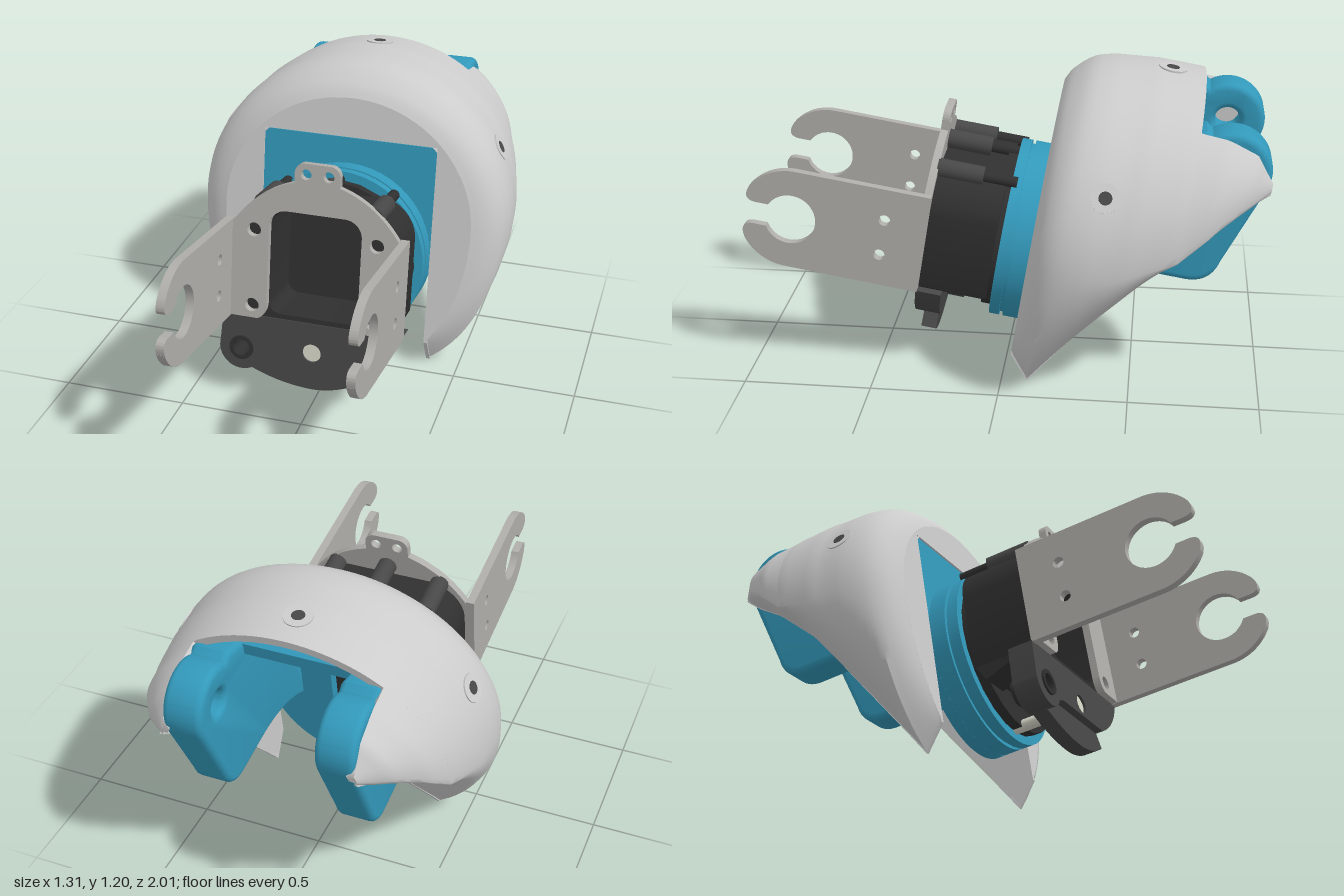
import * as THREE from 'three';
import { toCreasedNormals } from 'three/addons/utils/BufferGeometryUtils.js';

const mat = (color) => new THREE.MeshStandardMaterial({ color, side: THREE.DoubleSide });
const GREY = mat(0xcccccc), STEEL = mat(0xb0aeaa), BLUE = mat(0x3399bb);
const BLACK = mat(0x303030), DARK = mat(0x474747), BOLT = mat(0xd6d6c8);

const poly = (pts) => new THREE.Shape(pts.map(([x, y]) => new THREE.Vector2(x, y)));
const hole = (x, y, r) => new THREE.Path().absarc(x, y, r, 0, Math.PI * 2, true);

function roundRect(x0, y0, x1, y1, top, bottom = top, P = THREE.Shape) {
  const p = new P();
  p.moveTo(x0 + bottom, y0);
  p.lineTo(x1 - bottom, y0);
  p.absarc(x1 - bottom, y0 + bottom, bottom, -Math.PI / 2, 0);
  p.absarc(x1 - top, y1 - top, top, 0, Math.PI / 2);
  p.absarc(x0 + top, y1 - top, top, Math.PI / 2, Math.PI);
  p.absarc(x0 + bottom, y0 + bottom, bottom, Math.PI, Math.PI * 1.5);
  return p;
}

// Linear lookup in [key, value] rows with falling keys
function lookup(rows, k) {
  for (let i = 1; i < rows.length; i++) {
    const [a, b] = [rows[i - 1], rows[i]];
    if (k >= b[0]) return a[1] + (b[1] - a[1]) * Math.min(1, Math.max(0, (k - a[0]) / (b[0] - a[0])));
  }
  return rows[rows.length - 1][1];
}

// Shell profile along the joint axis: half width, top, middle and lower edge
const WIDTH = [[-0.1, 0.52], [-0.115, 0.565], [-0.14, 0.605], [-0.18, 0.635], [-0.23, 0.65], [-0.3, 0.655], [-0.45, 0.64], [-0.6, 0.605], [-0.72, 0.555], [-0.85, 0.46], [-0.926, 0.37]];
const TOP = [[-0.1, 0.63], [-0.12, 0.67], [-0.17, 0.72], [-0.21, 0.747], [-0.28, 0.766], [-0.45, 0.785], [-0.63, 0.784], [-0.75, 0.765], [-0.85, 0.73], [-0.926, 0.62]];
const MID = [[-0.1, 0.13], [-0.4, 0.15], [-0.63, 0.25], [-0.75, 0.38], [-0.85, 0.47], [-0.926, 0.51]];
const LOW = [[-0.1, -0.37], [-0.18, -0.472], [-0.25, -0.36], [-0.46, -0.035], [-0.59, 0.174], [-0.77, 0.366], [-0.87, 0.44], [-0.926, 0.495]];
const GAP = 0.36, ROUND = 0.75;

const topAngle = (w) => Math.asin(Math.min(1, GAP / lookup(WIDTH, w)));
const lowAngle = (w) => Math.PI - Math.asin(Math.min(1, (GAP / lookup(WIDTH, w)) ** (1 / ROUND)));

// Section point: elliptic above the middle, fuller below, ending on the gap
function shellPoint(w, a, inset = 0) {
  const m = lookup(MID, w), c = Math.cos(a), s = Math.sin(a), X = lookup(WIDTH, w) - inset;
  if (c >= 0) return [X * s, m + (lookup(TOP, w) - m - inset) * c, w];
  const drop = (m - lookup(LOW, w)) / -Math.cos(lowAngle(w));
  const x = Math.max(GAP, X * Math.abs(s) ** ROUND);
  return [Math.sign(s) * x, m + Math.max(0, drop - inset) * c, w];
}
// Walled loft of shell sections from start(w) to end(w)
function shellLoft(ws, start, end, n) {
  const pos = [], idx = [], m = 2 * (n + 1);
  ws.forEach((w, k) => {
    const a0 = start(w), a1 = end(w);
    for (let i = 0; i <= n; i++) pos.push(...shellPoint(w, a0 + (a1 - a0) * i / n));
    for (let i = n; i >= 0; i--) pos.push(...shellPoint(w, a0 + (a1 - a0) * i / n, 0.03));
    if (!k) return;
    for (let i = 0; i < m; i++) {
      const j = (i + 1) % m, p = (k - 1) * m, q = k * m;
      idx.push(p + i, p + j, q + i, p + j, q + j, q + i);
    }
  });
  const last = (ws.length - 1) * m;
  for (let i = 0; i < n; i++) {
    const a = last + i, d = last + m - 1 - i;
    idx.push(a, a + 1, d, a + 1, d - 1, d);
  }
  const g = new THREE.BufferGeometry();
  g.setAttribute('position', new THREE.Float32BufferAttribute(pos, 3));
  g.setIndex(idx);
  return toCreasedNormals(g, 0.7);
}
const steps = (a, b, n) => Array.from({ length: n + 1 }, (_, i) => a + (b - a) * i / n);

export function createModel() {
  const model = new THREE.Group();
  const joint = new THREE.Group();
  joint.name = 'tiltedJoint';
  joint.position.y = 0.5;
  joint.rotation.x = -0.165;
  model.add(joint);

  const add = (name, geo, m) => {
    const mesh = new THREE.Mesh(geo, m);
    mesh.name = name;
    joint.add(mesh);
    return mesh;
  };
  // Plate facing along the joint axis
  const plate = (name, shape, w0, w1, m) => add(name, toCreasedNormals(new THREE.ExtrudeGeometry(shape,
    { depth: w1 - w0, bevelEnabled: false, curveSegments: 24 }).translate(0, 0, w0), 0.6), m);
  // Plate facing sideways, drawn in (axis, up) coordinates
  const sidePlate = (name, shape, x0, x1, m, bevel = 0) => add(name, toCreasedNormals(new THREE.ExtrudeGeometry(shape, {
    depth: x1 - x0 - 2 * bevel, bevelEnabled: bevel > 0, bevelSize: bevel, bevelOffset: -bevel,
    bevelThickness: bevel, bevelSegments: 4, curveSegments: 20,
  }).rotateY(-Math.PI / 2).translate(x1 - bevel, 0, 0), 0.6), m);
  const rod = (name, x, v, r, w0, w1, m) => add(name,
    new THREE.CylinderGeometry(r, r, w1 - w0, 24).rotateX(Math.PI / 2).translate(x, v, (w0 + w1) / 2), m);

  // Domed shell with two rear lobes
  const front = [-0.1, -0.107, -0.115, -0.127, -0.14, -0.16, -0.18, -0.205, -0.23, ...steps(-0.265, -0.63, 14)];
  add('shell', shellLoft(front, (w) => -lowAngle(w), lowAngle, 110), GREY);
  const lobe = shellLoft(steps(-0.63, -0.926, 16), topAngle, lowAngle, 36);
  add('shellLobeLeft', lobe, GREY);
  add('shellLobeRight', lobe, GREY).scale.x = -1;

  // Flat front wall of the shell with its notch, and the flat inner side walls
  const end = lowAngle(-0.1);
  const rim = steps(-end, end, 64).map((a) => shellPoint(-0.1, a));
  plate('shellFrontWall', poly([...rim, [GAP, 0.468], [-GAP, 0.468]]), -0.125, -0.1, GREY);
  const inner = poly([...LOW, [-0.85, 0.55], [-0.63, 0.62], [-0.3, 0.5], [-0.1, 0.4]]);
  for (const x of [-GAP - 0.015, GAP]) sidePlate('shellInnerWall', inner, x, x + 0.015, GREY);

  // Flush screw seats on the shell
  for (const [x, v, w, nx, ny] of [[0, 0.783, -0.5, 0, 1], [0.572, 0.439, -0.33, 0.88, 0.48], [-0.572, 0.439, -0.33, -0.88, 0.48]]) {
    const seat = new THREE.Group();
    seat.name = 'screwSeat';
    const ring = new THREE.Mesh(new THREE.CylinderGeometry(0.055, 0.055, 0.012, 28), GREY);
    const bore = new THREE.Mesh(new THREE.CylinderGeometry(0.025, 0.025, 0.014, 20), DARK);
    seat.add(ring, bore);
    seat.position.set(x, v, w);
    seat.quaternion.setFromUnitVectors(new THREE.Vector3(0, 1, 0), new THREE.Vector3(nx, ny, 0).normalize());
    joint.add(seat);
  }

  // Blue frame: arched base plate, stepped discs, top web and fork arms
  const base = new THREE.Shape();
  base.moveTo(GAP, 0);
  base.lineTo(GAP, 0.465);
  base.lineTo(-GAP, 0.465);
  base.lineTo(-GAP, 0);
  base.absarc(0, 0, GAP, Math.PI, Math.PI * 2);
  base.holes.push(roundRect(-0.08, -0.16, 0.08, 0.2, 0.05, 0.05, THREE.Path));
  plate('frameBase', base, -0.15, -0.105, BLUE);
  [[0.36, -0.105, -0.035], [0.345, -0.035, -0.02], [0.36, -0.02, 0.02]].forEach(([r, a, b]) => {
    const disc = new THREE.Shape().absarc(0, 0, r, 0, Math.PI * 2);
    disc.holes.push(hole(0, 0, 0.24));
    plate('flangeDisc', disc, a, b, BLUE);
  });
  sidePlate('frameTopWeb', poly([[-0.11, 0.465], [-0.11, 0.42], [-0.55, 0.58], [-0.55, 0.63]]), -0.3, 0.3, BLUE);
  const arm = new THREE.Shape();
  arm.moveTo(-0.11, 0.46);
  arm.lineTo(-0.3, 0.55);
  arm.lineTo(-0.65, 0.68);
  arm.absarc(-0.77, 0.545, 0.15, 0.9, Math.PI + 0.3);
  arm.lineTo(-0.81, 0.18);
  arm.quadraticCurveTo(-0.79, 0.08, -0.69, 0.08);
  arm.lineTo(-0.52, 0.08);
  arm.quadraticCurveTo(-0.3, 0.08, -0.11, -0.08);
  arm.holes.push(hole(-0.77, 0.545, 0.05));
  for (const x of [-0.36, 0.21]) sidePlate('forkArm', arm, x, x + 0.15, BLUE, 0.025);

  // Hollow black housing
  const body = roundRect(-0.325, -0.19, 0.325, 0.285, 0.16, 0.02);
  body.holes.push(roundRect(-0.185, -0.165, 0.185, 0.272, 0.07, 0.05, THREE.Path));
  plate('housing', body, 0.04, 0.305, BLACK);
  rod('housingFloor', 0, 0, 0.325, 0.015, 0.06, BLACK);
  sidePlate('housingWedge', poly([[0.265, -0.185], [0.05, -0.185], [0.086, -0.248]]), -0.33, -0.2, BLACK);
  for (const x of [-0.22, 0, 0.22]) {
    const v = x ? 0.285 : 0.325;
    rod('spacerPost', x, v, 0.038, 0.13, 0.31, DARK);
    rod('spacerPin', x, v, 0.022, 0, 0.14, BLACK);
  }

  // Front mounting plate with tab
  const mount = new THREE.Shape();
  mount.moveTo(-0.335, -0.185);
  mount.lineTo(-0.335, 0.2);
  mount.quadraticCurveTo(-0.24, 0.345, -0.09, 0.39);
  mount.lineTo(-0.09, 0.43);
  mount.absarc(-0.05, 0.43, 0.04, Math.PI, Math.PI / 2, true);
  mount.absarc(0.05, 0.43, 0.04, Math.PI / 2, 0, true);
  mount.lineTo(0.09, 0.39);
  mount.quadraticCurveTo(0.24, 0.345, 0.335, 0.2);
  mount.lineTo(0.335, -0.185);
  mount.lineTo(0.22, -0.185);
  mount.quadraticCurveTo(0.185, -0.17, 0.185, -0.12);
  mount.lineTo(0.185, 0.202);
  mount.absarc(0.115, 0.202, 0.07, 0, Math.PI / 2);
  mount.absarc(-0.115, 0.202, 0.07, Math.PI / 2, Math.PI);
  mount.lineTo(-0.185, -0.12);
  mount.quadraticCurveTo(-0.185, -0.17, -0.22, -0.185);
  for (const s of [-1, 1]) {
    mount.holes.push(hole(s * 0.045, 0.427, 0.021), hole(s * 0.245, 0.181, 0.028), hole(s * 0.245, -0.132, 0.028));
  }
  plate('mountingPlate', mount, 0.305, 0.335, STEEL);

  // Side brackets ending in open hooks
  const hook = new THREE.Shape();
  hook.moveTo(0.305, -0.188);
  hook.lineTo(0.305, 0.214);
  hook.lineTo(0.83, 0.214);
  hook.absarc(0.83, 0.014, 0.2, Math.PI / 2, 0.55, true);
  hook.quadraticCurveTo(1.025, 0.059, 0.965, 0.059);
  hook.absarc(0.83, 0.014, 0.1, 0.47, Math.PI * 2 - 0.47);
  hook.lineTo(0.965, -0.031);
  hook.quadraticCurveTo(1.025, -0.031, 1.0, -0.09);
  hook.absarc(0.83, 0.014, 0.2, -0.55, -Math.PI / 2, true);
  hook.holes.push(hole(0.468, 0.087, 0.022), hole(0.47, -0.06, 0.022));
  for (const x of [-0.365, 0.332]) sidePlate('hookBracket', hook, x, x + 0.033, STEEL);

  // Lower cable bracket, lever and hardware
  const lower = new THREE.Shape();
  lower.moveTo(-0.37, -0.185);
  lower.lineTo(-0.382, -0.33);
  lower.absarc(-0.29, -0.33, 0.092, Math.PI, Math.PI * 1.85);
  lower.lineTo(-0.17, -0.36);
  lower.lineTo(0.17, -0.365);
  lower.quadraticCurveTo(0.31, -0.3, 0.36, -0.185);
  lower.holes.push(hole(-0.29, -0.33, 0.04), hole(0, -0.31, 0.038));
  plate('lowerBracket', lower, 0.21, 0.31, DARK);
  const lever = poly([[-0.3, -0.41], [-0.2, -0.34], [0.16, -0.34], [0.2, -0.42]]);
  lever.quadraticCurveTo(0.1, -0.477, 0, -0.478);
  lever.quadraticCurveTo(-0.1, -0.477, -0.2, -0.445);
  plate('lowerLever', lever, 0.22, 0.28, DARK);
  const collar = new THREE.Shape().absarc(-0.29, -0.33, 0.05, 0, Math.PI * 2);
  collar.holes.push(hole(-0.29, -0.33, 0.034));
  plate('pivotCollar', collar, 0.18, 0.318, BLACK);
  rod('lowerBolt', 0, -0.31, 0.024, -0.02, 0.29, BOLT);
  rod('lowerBoltHead', 0, -0.31, 0.038, 0.26, 0.3, BOLT);
  rod('lowerSpacer', 0, -0.31, 0.045, 0.14, 0.22, DARK);
  return model;
}
